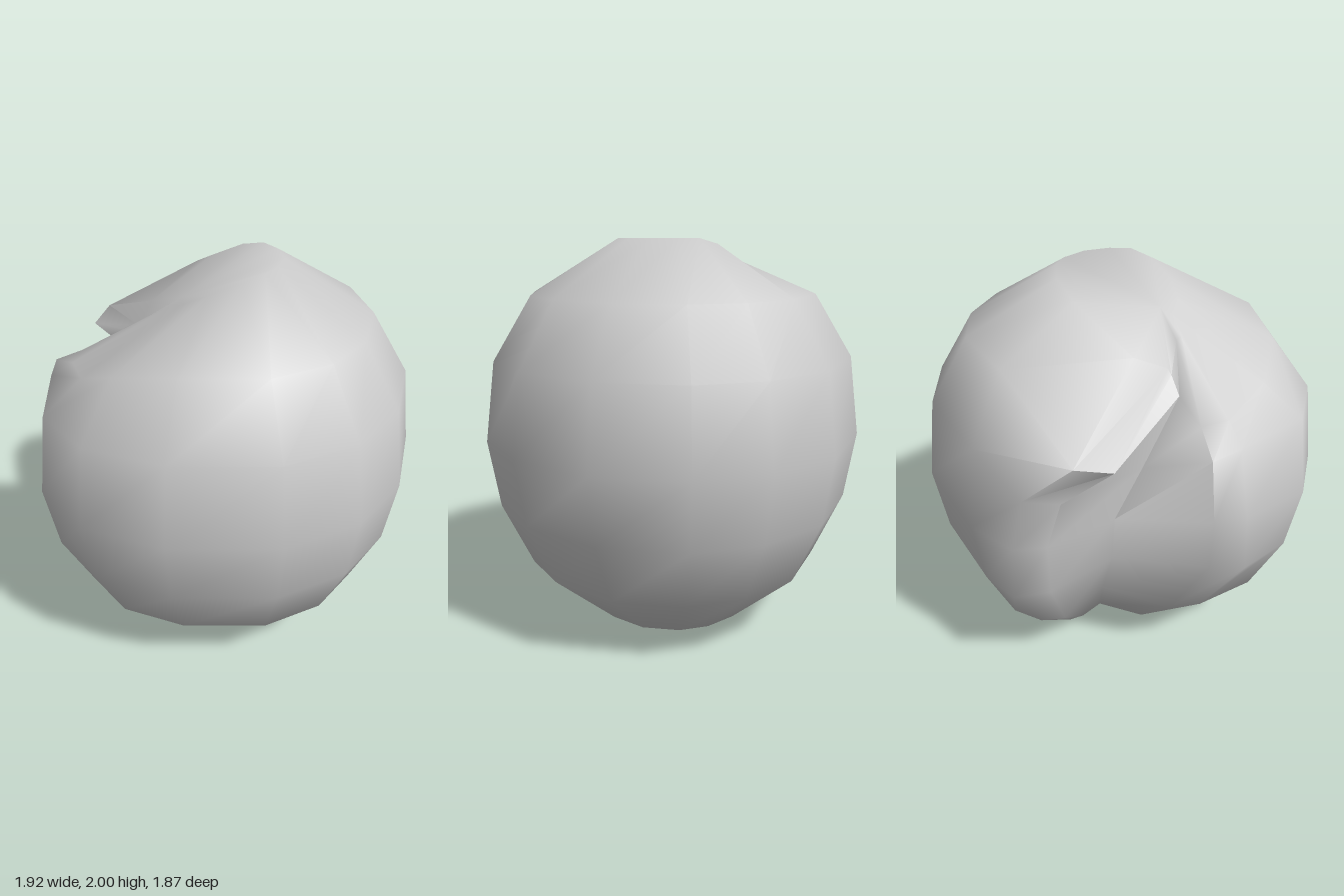
import * as THREE from 'three';
import { toCreasedNormals } from 'three/addons/utils/BufferGeometryUtils.js';

// Half profile of the body as [radius, height], top to bottom
const PROFILE = [[0.28, 2], [0.72, 1.73], [0.91, 1.42], [0.963, 1.02], [0.91, 0.68], [0.76, 0.35], [0.41, 0.04]];
const TOP = [-0.2, 1.845, 0.12];
const BOTTOM = [0.09, 0, 0.01];

// Hand-set meridians around the cleft, from its front side to its back side
const CLEFT = [
  // front rim
  [[-0.36, 1.75, 0.13], [-0.74, 1.5, 0.12], [-0.86, 1.42, 0.1], [-0.94, 1.1, 0.1], [-0.96, 0.82, 0.1], [-0.69, 0.38, 0.08], [-0.34, 0.05, 0.03]],
  // front shoulder
  [[-0.36, 1.74, 0.1], [-0.72, 1.5, -0.02], [-0.87, 1.42, -0.07], [-0.89, 1.1, -0.05], [-0.85, 0.8, -0.02], [-0.64, 0.4, -0.08], [-0.32, 0.05, -0.03]],
  // groove
  [[-0.44, 1.62, 0.02], [-0.53, 1.56, 0], [-0.54, 1.25, -0.2], [-0.54, 1.02, -0.35], [-0.55, 0.8, -0.37], [-0.42, 0.5, -0.35], [-0.23, 0.18, -0.25]],
  // wall
  [[-0.42, 1.65, 0.01], [-0.74, 1.44, -0.48], [-0.58, 1.25, -0.65], [-0.53, 1, -0.7], [-0.5, 0.7, -0.68], [-0.38, 0.36, -0.55], [-0.18, 0.09, -0.33]],
  // back lip
  [[-0.37, 1.72, -0.14], [-0.68, 1.48, -0.64], [-0.51, 1.28, -0.8], [-0.46, 1, -0.84], [-0.43, 0.69, -0.84], [-0.33, 0.36, -0.66], [-0.16, 0.08, -0.4]],
];

// Regular meridian; slanted limits trim the top on the -x side
function meridian([degrees, bulge = 1]) {
  const a = THREE.MathUtils.degToRad(degrees);
  return PROFILE.map(([r, y]) => {
    const x = r * bulge * Math.cos(a);
    return [x, Math.min(y, 1.975 + 0.64 * x, 1.941 + 0.39 * x), r * bulge * Math.sin(a)];
  });
}

function cleftBall() {
  const meridians = [
    ...[[0], [27], [49, 1.01], [73], [104], [128, 1.055], [148, 1.05]].map(meridian),
    ...CLEFT,
    ...[[256], [287], [311], [333]].map(meridian),
  ];
  const n = meridians.length;
  const rings = PROFILE.length;
  const points = [TOP, BOTTOM, ...meridians.flat()];
  const at = (i, j) => 2 + (i % n) * rings + j;
  const index = [];
  for (let i = 0; i < n; i++) {
    index.push(0, at(i + 1, 0), at(i, 0));
    for (let j = 0; j < rings - 1; j++) {
      const a = at(i, j), b = at(i + 1, j), c = at(i + 1, j + 1), d = at(i, j + 1);
      index.push(a, b, c, a, c, d);
    }
    index.push(1, at(i, rings - 1), at(i + 1, rings - 1));
  }
  const geometry = new THREE.BufferGeometry();
  geometry.setAttribute('position', new THREE.Float32BufferAttribute(points.flat(), 3));
  geometry.setIndex(index);
  return toCreasedNormals(geometry, THREE.MathUtils.degToRad(62));
}

export function createModel() {
  const group = new THREE.Group();
  group.name = 'cleftBall';
  const body = new THREE.Mesh(
    cleftBall(),
    new THREE.MeshStandardMaterial({ color: 0xcccccc, side: THREE.DoubleSide })
  );
  body.name = 'body';
  group.add(body);
  return group;
}
